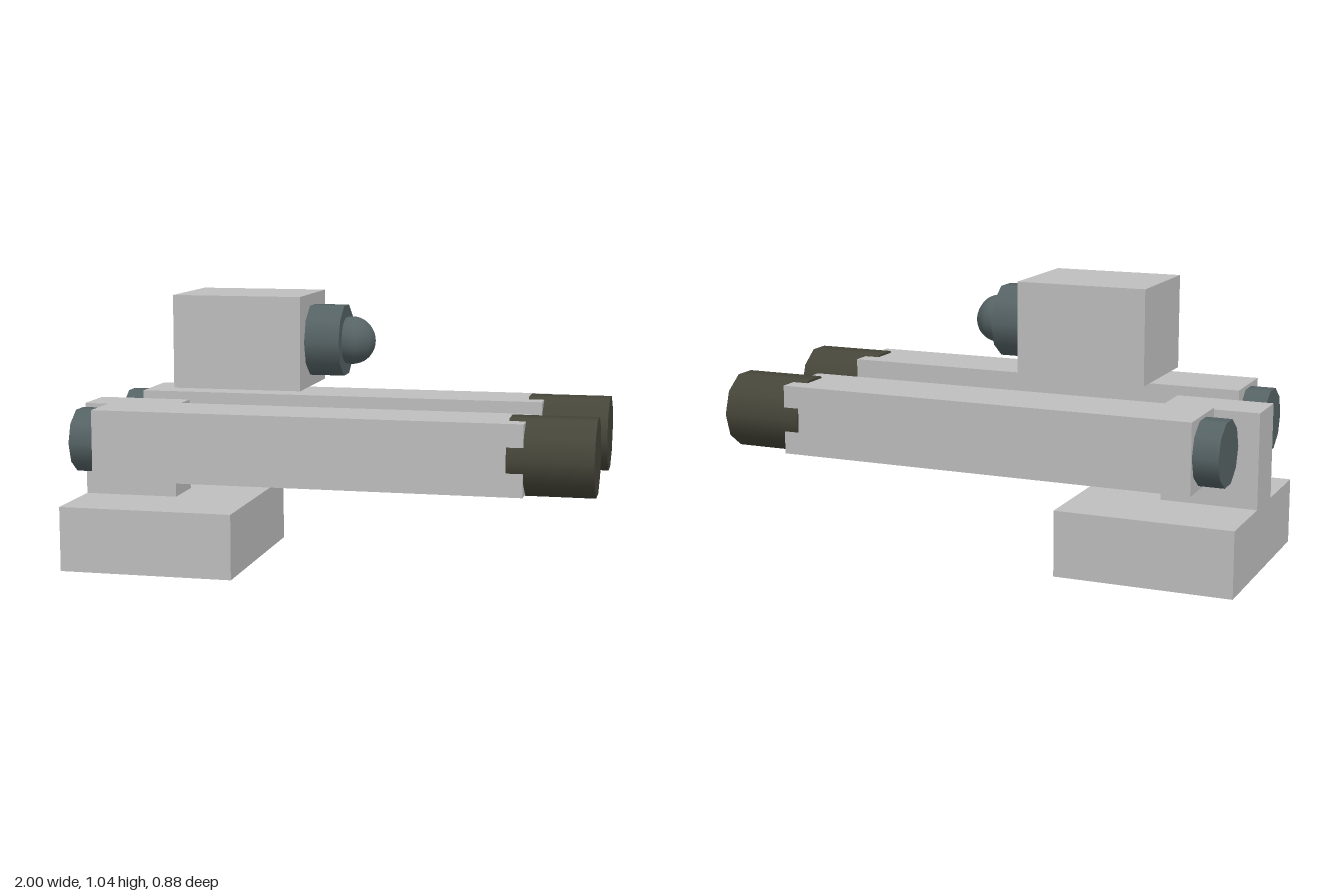
import * as THREE from 'three';

const gray = new THREE.MeshStandardMaterial({ color: 0xbfbfbf });
gray.name = 'lightGray';
const slate = new THREE.MeshStandardMaterial({ color: 0x566365 });
slate.name = 'slate';
const olive = new THREE.MeshStandardMaterial({ color: 0x46463a });
olive.name = 'darkOlive';

// Box given by its limits on each axis
function box(name, [x0, x1], [y0, y1], [z0, z1]) {
  const mesh = new THREE.Mesh(new THREE.BoxGeometry(x1 - x0, y1 - y0, z1 - z0), gray);
  mesh.position.set((x0 + x1) / 2, (y0 + y1) / 2, (z0 + z1) / 2);
  mesh.name = name;
  return mesh;
}

// Ten-sided cylinder lying along x, with a corner on the z axis
function barrel(name, [x0, x1], y, z, radius, material) {
  const geometry = new THREE.CylinderGeometry(radius, radius, x1 - x0, 10).rotateZ(-Math.PI / 2);
  const mesh = new THREE.Mesh(geometry, material);
  mesh.position.set((x0 + x1) / 2, y, z);
  mesh.name = name;
  return mesh;
}

export function createModel() {
  const model = new THREE.Group();
  model.name = 'twinBeamDevice';

  // Stand
  model.add(box('base', [-1, -0.33], [0, 0.247], [-0.385, 0.385]));
  model.add(box('post', [-1, -0.635], [0.247, 0.603], [-0.093, 0.093]));

  // Two beams, each with a muzzle in front and a cap behind
  for (const side of [-1, 1]) {
    const z = side * 0.292;
    const arm = new THREE.Group();
    arm.name = side > 0 ? 'frontArm' : 'backArm';
    arm.add(box('beam', [-0.85, 0.75], [0.363, 0.625], [z - 0.131, z + 0.131]));
    arm.add(barrel('muzzle', [0.69, 1], 0.495, z, 0.146, olive));
    arm.add(barrel('rearCap', [-0.945, -0.84], 0.495, z, 0.122, slate));
    model.add(arm);
  }

  // Sensor housing with collar and round lens
  const sensor = new THREE.Group();
  sensor.name = 'sensor';
  sensor.add(box('housing', [-0.6, -0.11], [0.688, 1.038], [-0.2, 0.2]));
  sensor.add(barrel('collar', [-0.12, 0.022], 0.863, 0, 0.138, slate));
  const lens = new THREE.Mesh(new THREE.SphereGeometry(0.09, 10, 24), slate);
  lens.position.set(0.045, 0.863, 0);
  lens.name = 'lens';
  sensor.add(lens);
  model.add(sensor);

  return model;
}
